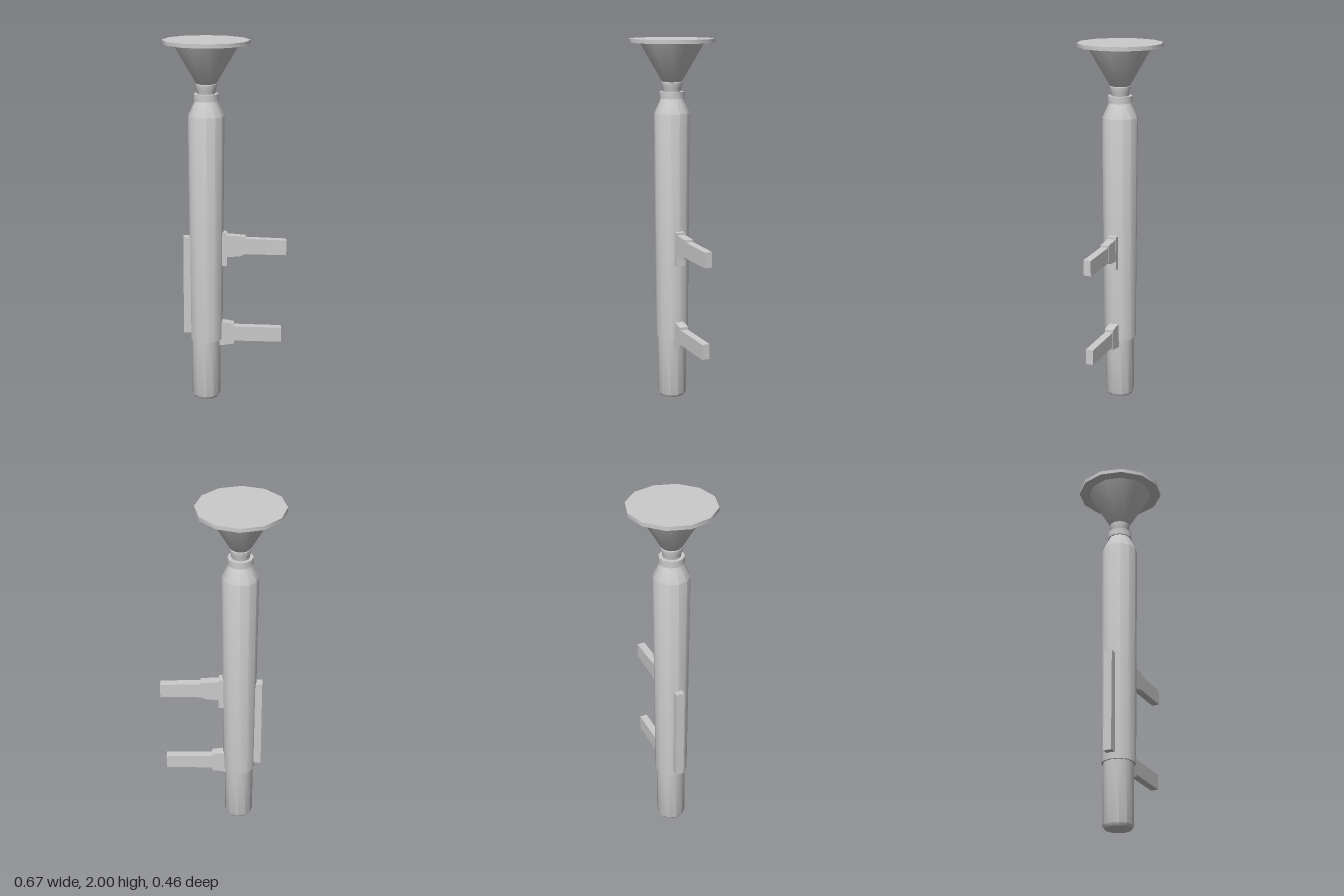
import * as THREE from 'three';
import { toCreasedNormals } from 'three/addons/utils/BufferGeometryUtils.js';

const material = new THREE.MeshStandardMaterial({ color: 0xcccccc });
const SIDES = 12;

// Turned part from [radius, height] pairs, lowest first
function turned(name, profile) {
  const points = profile.map(([r, y]) => new THREE.Vector2(r, y));
  const lathe = new THREE.LatheGeometry(points, SIDES);
  const mesh = new THREE.Mesh(toCreasedNormals(lathe, 0.6), material);
  mesh.name = name;
  return mesh;
}

// Side outline in x, y given a thickness along z
function slab(name, outline, width) {
  const shape = new THREE.Shape(outline.map(([x, y]) => new THREE.Vector2(x, y)));
  const geometry = new THREE.ExtrudeGeometry(shape, { depth: width, bevelEnabled: false });
  geometry.translate(0, 0, -width / 2);
  const mesh = new THREE.Mesh(geometry, material);
  mesh.name = name;
  return mesh;
}

function group(name, ...parts) {
  const g = new THREE.Group();
  g.name = name;
  g.add(...parts);
  return g;
}

export function createModel() {
  const tool = group('tool',
    // Lower tube with a chamfered foot
    turned('lowerTube', [[0, 0], [0.07, 0], [0.08, 0.015], [0.08, 0.4]]),
    // Main barrel, widening slightly upwards to a tapered shoulder
    turned('barrel', [[0, 0.345], [0.09, 0.345], [0.097, 1.6], [0.057, 1.685], [0, 1.685]]),
    turned('collar', [[0, 1.68], [0.067, 1.68], [0.067, 1.717], [0, 1.717]]),
    turned('neck', [[0.046, 1.71], [0.05, 1.735], [0.056, 1.755], [0.056, 1.768], [0.045, 1.772]]),
    // Flared cone and the flat disc on top
    turned('cone', [[0.046, 1.765], [0.055, 1.772], [0.176, 1.98]]),
    turned('disc', [[0, 1.978], [0.232, 1.978], [0.232, 1.999], [0, 1.999]]),
  );

  // Upper handle: mounting plate, stepped bracket and bar
  tool.add(group('upperHandle',
    slab('upperPlate', [[0.08, 0.77], [0.114, 0.77], [0.114, 0.957], [0.08, 0.96]], 0.05),
    slab('upperBracket',
      [[0.1, 0.82], [0.185, 0.826], [0.215, 0.84], [0.215, 0.936], [0.1, 0.946]], 0.046),
    slab('upperBar', [[0.2, 0.838], [0.437, 0.832], [0.437, 0.916], [0.2, 0.926]], 0.042),
  ));

  // Lower handle: bracket and bar
  tool.add(group('lowerHandle',
    slab('lowerBracket',
      [[0.07, 0.305], [0.15, 0.315], [0.155, 0.33], [0.155, 0.432], [0.12, 0.44], [0.07, 0.446]], 0.05),
    slab('lowerBar', [[0.14, 0.333], [0.416, 0.326], [0.416, 0.409], [0.14, 0.418]], 0.042),
  ));

  // Long rail on the opposite side
  tool.add(slab('rail', [[-0.125, 0.38], [-0.07, 0.38], [-0.07, 0.932], [-0.125, 0.935]], 0.046));

  // Slight lean and turn of the whole tool
  tool.position.x = -0.11;
  tool.rotation.set(0, -0.025, -0.0035);

  return group('model', tool);
}
